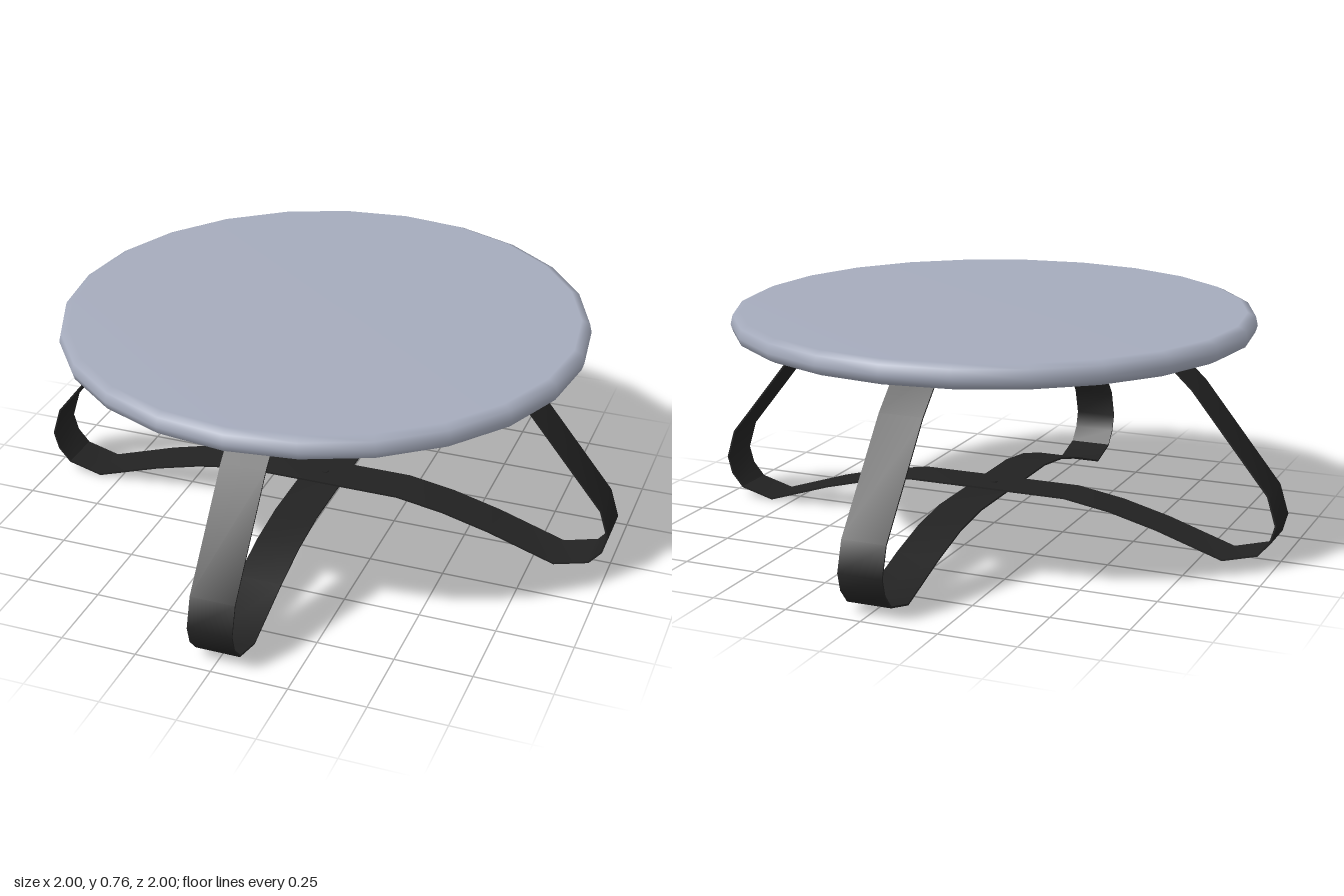
import * as THREE from 'three';
import { toCreasedNormals } from 'three/addons/utils/BufferGeometryUtils.js';

const paint = (name, color) => {
  const m = new THREE.MeshStandardMaterial({ color });
  m.name = name;
  return m;
};

// Bent flat bar: centre line offset to both sides, then extruded to its width
function strapGeometry(path, thickness, width) {
  const sides = [[], []];
  path.forEach((p, i) => {
    const a = path[Math.max(i - 1, 0)], b = path[Math.min(i + 1, path.length - 1)];
    const d = b.clone().sub(a).normalize().multiplyScalar(thickness / 2);
    sides[0].push(new THREE.Vector2(p.x - d.y, p.y + d.x));
    sides[1].unshift(new THREE.Vector2(p.x + d.y, p.y - d.x));
  });
  const shape = new THREE.Shape([...sides[0], ...sides[1]]);
  const geo = new THREE.ExtrudeGeometry(shape, { depth: width, bevelEnabled: false });
  return toCreasedNormals(geo.translate(0, 0, -width / 2), 0.6);
}

// Whole strap from one mounting pad, under the floor bends, to the opposite pad
function strapPath(crossY) {
  const half = [
    [0.29, 0.676], [0.58, 0.676], [0.71, 0.555], [0.967, 0.235], [0.996, 0.14],
    [0.98, 0.082], [0.94, 0.035], [0.825, 0.004], [0.6, 0.077], [0.44, 0.118], [0.28, crossY],
  ];
  const left = half.map(([x, y]) => new THREE.Vector2(x, y));
  const right = half.map(([x, y]) => new THREE.Vector2(-x, y)).reverse();
  return [...left, ...right];
}

export function createModel() {
  const model = new THREE.Group();
  model.name = 'roundTable';
  const greyTop = paint('greyTop', 0xa5abbc);
  const blackMetal = paint('blackMetal', 0x222222);

  const add = (parent, name, geo, mat) => {
    const mesh = new THREE.Mesh(geo, mat);
    mesh.name = name;
    parent.add(mesh);
    return mesh;
  };

  // Round top with a soft edge
  const profile = [
    [0, 0.681], [0.835, 0.681], [0.857, 0.692], [0.864, 0.715],
    [0.857, 0.745], [0.83, 0.757], [0, 0.757],
  ].map(([x, y]) => new THREE.Vector2(x, y));
  add(model, 'tableTop', new THREE.LatheGeometry(profile, 24), greyTop);

  // Two crossing straps, each with two screws per mounting pad
  [['sideStrap', 0, 0.144], ['frontBackStrap', Math.PI / 2, 0.138]].forEach(([name, turn, crossY]) => {
    const base = new THREE.Group();
    base.name = name;
    base.rotation.y = turn;
    add(base, 'strap', strapGeometry(strapPath(crossY), 0.006, 0.146), blackMetal);
    for (const x of [-0.46, -0.38, 0.38, 0.46]) {
      add(base, 'screw', new THREE.CylinderGeometry(0.013, 0.009, 0.012, 10), blackMetal)
        .position.set(x, 0.668, 0);
    }
    model.add(base);
  });

  // Rivet joining the straps
  add(model, 'rivet', new THREE.CylinderGeometry(0.012, 0.012, 0.018, 10), blackMetal)
    .position.set(0, 0.141, 0);

  return model;
}
